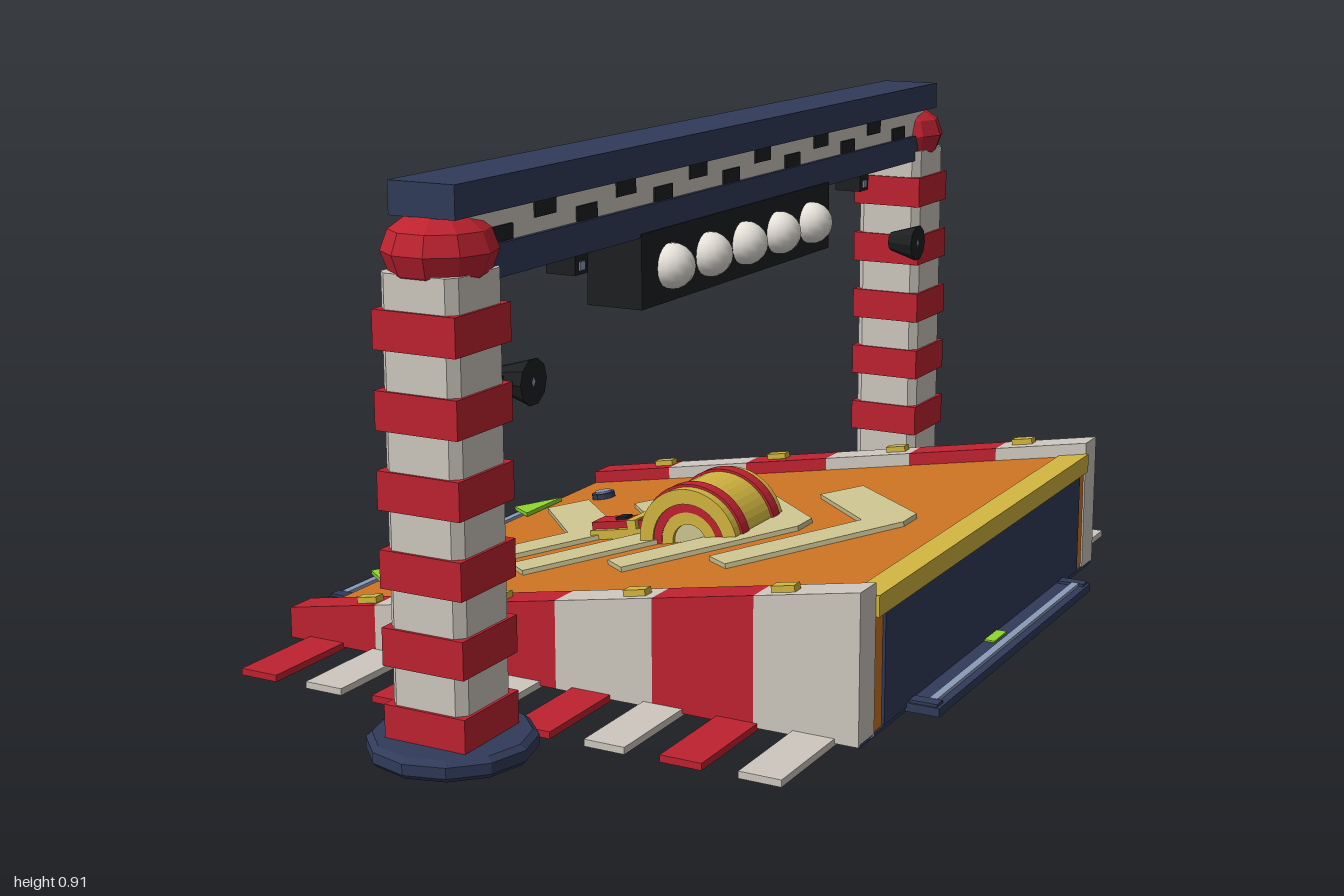
import * as THREE from 'three';

const mat = (name, color, opts = {}) => {
  const m = new THREE.MeshStandardMaterial({ color, flatShading: true, ...opts });
  m.name = name;
  return m;
};

export function createModel() {
  const red = mat('red', 0xbe2230), white = mat('offWhite', 0xcdc7be), navy = mat('navy', 0x313b5a);
  const orange = mat('orange', 0xcd7423), yellow = mat('yellow', 0xd2b640), khaki = mat('khaki', 0xd0c693);
  const black = mat('black', 0x1d1e20), steel = mat('steel', 0x8a9bb8), green = mat('green', 0x8fd62e);
  const lampWhite = mat('lampWhite', 0xe6e2da, { flatShading: false });

  const root = new THREE.Group();
  root.name = 'rampGate';
  const add = (name, geo, m, x = 0, y = 0, z = 0, parent = root) => {
    const mesh = new THREE.Mesh(geo, m);
    mesh.name = name;
    mesh.position.set(x, y, z);
    parent.add(mesh);
    return mesh;
  };
  // box given by its limits on each axis
  const box = (name, m, x0, x1, y0, y1, z0, z1, parent = root) =>
    add(name, new THREE.BoxGeometry(x1 - x0, y1 - y0, z1 - z0), m,
      (x0 + x1) / 2, (y0 + y1) / 2, (z0 + z1) / 2, parent);
  // polygon extruded along its normal
  const extrude = (pts, depth) => new THREE.ExtrudeGeometry(
    new THREE.Shape(pts.map(p => new THREE.Vector2(...p))), { depth, bevelEnabled: false });
  const flat = (pts, h) => extrude(pts, h).rotateX(-Math.PI / 2);

  const slope = 0.2 / 1.12;
  const deckY = x => 0.135 + slope * x;
  const wallY = x => 0.16 + slope * x;
  const angle = Math.atan(slope);

  // ramp body
  add('rampBody', extrude([[-0.56, 0.006], [0.557, 0.006], [0.557, deckY(0.557)], [-0.56, deckY(-0.56)]], 1),
    orange, 0, 0, -0.5);
  box('rampUnderside', navy, -0.56, 0.56, 0.002, 0.008, -0.555, 0.555);
  box('highEndPanel', navy, 0.555, 0.562, 0.01, 0.203, -0.465, 0.465);
  add('highEdgeStrip', extrude([[0.505, 0.2], [0.566, 0.203], [0.566, deckY(0.566) + 0.003],
    [0.505, deckY(0.505) + 0.003]], 1), yellow, 0, 0, -0.5);

  // striped side walls with reflectors, and ground planks
  for (const s of [-1, 1]) {
    for (let i = 0; i < 6; i++) {
      const a = -0.56 + i * 1.12 / 6, b = a + 1.12 / 6;
      add('sideWallSegment', extrude([[a, 0.004], [b, 0.004], [b, wallY(b)], [a, wallY(a)]], 0.06),
        i % 2 ? white : red, 0, 0, s > 0 ? 0.5 : -0.56);
    }
    for (let i = 0; i < 4; i++) {
      const x = -0.4 + i * 0.273;
      add('wallReflector', new THREE.BoxGeometry(0.042, 0.016, 0.022), yellow, x, wallY(x) + 0.003, s * 0.535)
        .rotation.z = angle;
    }
    for (let i = 0; i < 8; i++) {
      const x = -0.481 + i * 0.1375;
      const z0 = s > 0 ? 0.5 : -0.748;
      box('groundPlank', i % 2 ? white : red, x - 0.037, x + 0.037, 0, 0.012, z0, z0 + 0.248);
    }
  }

  // markings lying on the sloped deck
  const deck = new THREE.Group();
  deck.name = 'deckDetails';
  deck.position.y = 0.135;
  deck.rotation.z = angle;
  root.add(deck);
  for (let i = 0; i < 4; i++) {
    add('chevron', flat([[0.12, -0.23], [0.185, -0.29], [0.412, -0.03], [0.412, 0.03],
      [0.185, 0.29], [0.12, 0.23], [0.315, 0]], 0.009), khaki, -0.64 + i * 0.213, 0, 0, deck);
  }
  for (const s of [-1, 1]) {
    add('deckBolt', new THREE.CylinderGeometry(0.025, 0.025, 0.012, 10), navy, -0.452, 0.005, s * 0.345, deck);
    add('deckBoltTop', new THREE.CylinderGeometry(0.018, 0.018, 0.004, 10), steel, -0.452, 0.013, s * 0.345, deck);
    add('entryArrow', flat([[-0.618, 0], [-0.543, -0.068], [-0.543, 0.068]], 0.008), green, 0, 0.002, s * 0.253, deck);
  }

  // half drum in the middle of the deck
  const drum = new THREE.Group();
  drum.name = 'centreDrum';
  deck.add(drum);
  const halfDrum = (name, r, w, m, z = 0) => add(name,
    new THREE.CylinderGeometry(r, r, w, 16, 1, false, -Math.PI / 2, Math.PI)
      .rotateX(Math.PI / 2).rotateZ(Math.PI), m, 0, 0, z, drum);
  const halfRing = (name, r0, r1, w, m, z) => {
    const shape = new THREE.Shape();
    shape.absarc(0, 0, r1, 0, Math.PI, false);
    shape.absarc(0, 0, r0, Math.PI, 0, true);
    const g = new THREE.ExtrudeGeometry(shape, { depth: w, bevelEnabled: false, curveSegments: 12 });
    return add(name, g, m, 0, 0, z - w / 2, drum);
  };
  halfRing('drumShell', 0.075, 0.103, 0.19, yellow, 0);
  halfRing('drumCore', 0.001, 0.076, 0.165, khaki, 0);
  for (const s of [-1, 1]) {
    halfRing('drumBand', 0.09, 0.108, 0.026, red, s * 0.062);
    halfRing('drumEndRing', 0.058, 0.078, 0.012, red, s * 0.085);
    halfRing('drumInnerRing', 0.035, 0.058, 0.01, yellow, s * 0.085);
  }
  box('latchBase', yellow, -0.25, -0.09, 0, 0.018, -0.035, 0.035, deck);
  box('latchArm', red, -0.25, -0.13, 0.016, 0.032, -0.024, 0.024, deck);
  box('latchBand', yellow, -0.165, -0.145, 0.016, 0.035, -0.035, 0.035, deck);
  box('latchPin', black, -0.202, -0.178, 0.03, 0.037, -0.012, 0.012, deck);

  // low plates at both ends
  for (const s of [-1, 1]) {
    const span = (name, m, a, b, y0, y1, z0, z1) =>
      box(name, m, Math.min(s * a, s * b), Math.max(s * a, s * b), y0, y1, z0, z1);
    span('endPlate', navy, 0.555, 0.62, 0.003, 0.018, -0.375, 0.375);
    span('endRail', steel, 0.592, 0.606, 0.016, 0.024, -0.35, 0.35);
    for (const e of [-1, 1]) span('endRailStop', navy, 0.565, 0.615, 0.016, 0.023, e * 0.36 - 0.012, e * 0.36 + 0.012);
  }
  box('exitMarker', green, 0.563, 0.582, 0.016, 0.021, -0.03, 0.03);

  // striped pillars
  const h = 0.07, c = 0.055;
  const shaft = [[-h, -c], [-c, -h], [c, -h], [h, -c], [h, c], [c, h], [-c, h], [-h, c]];
  for (const s of [-1, 1]) {
    const pillar = new THREE.Group();
    pillar.name = s > 0 ? 'frontPillar' : 'backPillar';
    pillar.position.z = s * 0.864;
    root.add(pillar);
    add('pillarFoot', new THREE.LatheGeometry([[0, 0.002], [0.128, 0.002], [0.136, 0.01], [0.136, 0.028],
      [0.126, 0.036], [0, 0.036]].map(p => new THREE.Vector2(...p)), 12), navy, 0, 0, 0, pillar);
    add('pillarShaft', flat(shaft, 0.77), white, 0, 0, 0, pillar);
    for (let i = 0; i < 6; i++) {
      const y = 0.06 + i * 0.1247;
      box('pillarBand', red, -0.075, 0.075, y - 0.031, y + 0.031, -0.075, 0.075, pillar);
    }
    add('pillarCap', new THREE.SphereGeometry(0.09, 10, 6), red, 0, 0.8, 0, pillar).scale.y = 0.72;
    // horn on the inner side of the pillar
    add('horn', new THREE.CylinderGeometry(0.038, 0.02, 0.06, 10).rotateZ(-Math.PI / 2), black,
      0.06, 0.583, -s * 0.112, pillar);
    add('hornHub', new THREE.SphereGeometry(0.014, 8, 6), steel, 0.084, 0.583, -s * 0.112, pillar).scale.x = 0.5;
    box('hornBracket', black, 0.03, 0.05, 0.573, 0.593,
      Math.min(-s * 0.065, -s * 0.1), Math.max(-s * 0.065, -s * 0.1), pillar);
  }

  // overhead beam with a chequered strip on both faces
  box('beamTopChord', navy, -0.06, 0.06, 0.853, 0.906, -0.91, 0.91);
  box('beamLowerChord', navy, -0.06, 0.06, 0.75, 0.803, -0.84, 0.84);
  box('beamWeb', white, -0.053, 0.053, 0.8, 0.856, -0.86, 0.86);
  for (const s of [-1, 1]) {
    for (let i = 0; i < 13; i++) {
      const y = i % 2 ? 0.84 : 0.816;
      add('chequer', new THREE.BoxGeometry(0.006, 0.025, 0.062), black, s * 0.053, y, 0.78 - i * 0.125);
    }
  }

  // lamp bar
  box('lampHousing', black, -0.045, 0.062, 0.627, 0.757, -0.368, 0.368);
  for (let i = -2; i <= 2; i++) {
    add('lamp', new THREE.SphereGeometry(0.04, 14, 10), lampWhite, 0.07, 0.69, i * 0.1375);
  }

  // small sensors under the beam
  for (const s of [-1, 1]) {
    box('sensor', black, 0, 0.055, 0.717, 0.752, s * 0.55 - 0.02, s * 0.55 + 0.02);
    box('sensorLens', steel, 0.054, 0.058, 0.724, 0.738, s * 0.55 - 0.008, s * 0.55 + 0.008);
  }
  return root;
}
